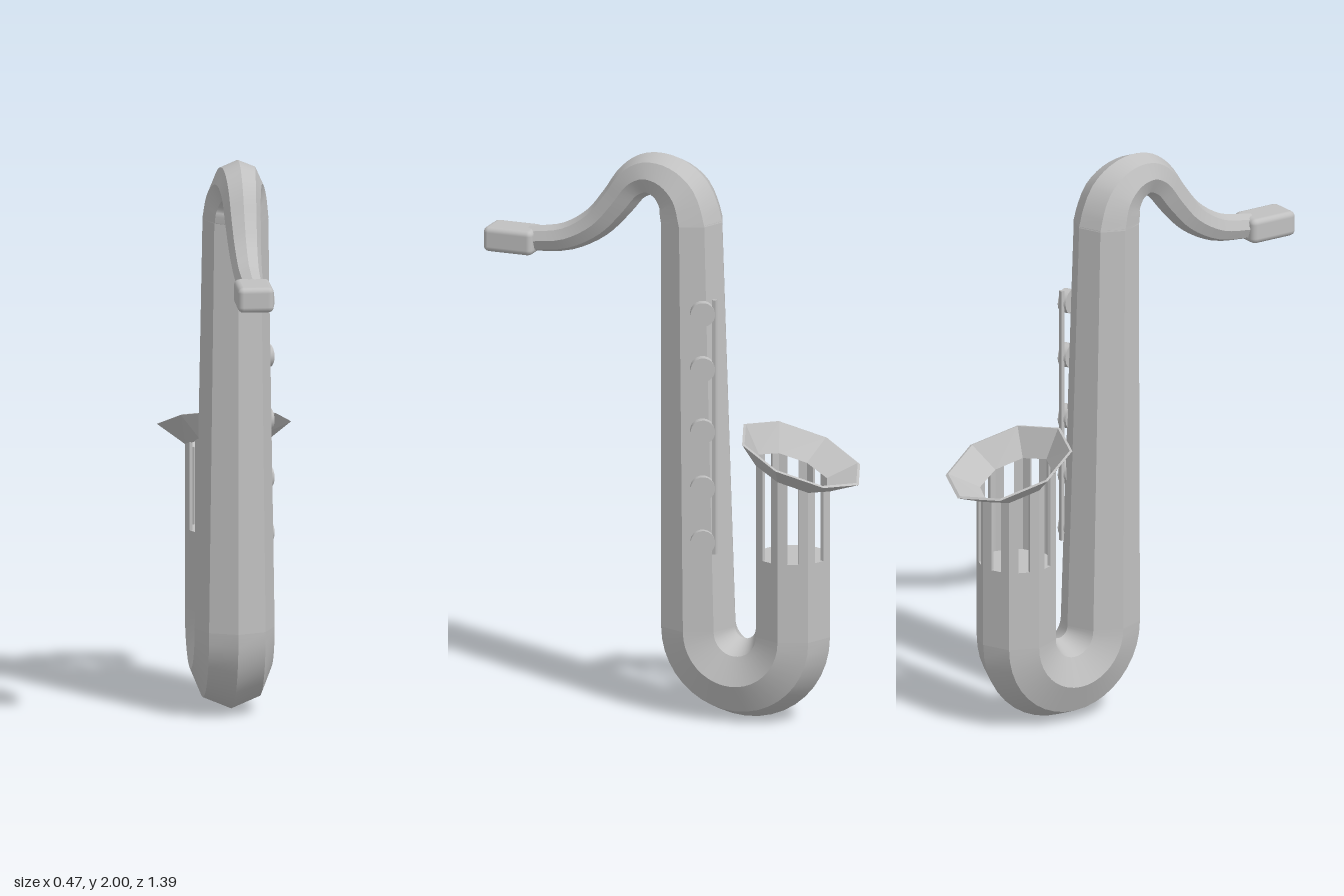
import * as THREE from 'three';
import { RoundedBoxGeometry } from 'three/addons/geometries/RoundedBoxGeometry.js';

const SIDES = 8;
const V = (x, y, z) => new THREE.Vector3(x, y, z);

// Octagon around (0, y, z), square to a direction (ty, tz) in the side plane
function ring(y, z, r, ty, tz) {
  const l = Math.hypot(ty, tz);
  return Array.from({ length: SIDES }, (_, k) => {
    const a = (k / SIDES) * Math.PI * 2;
    const c = Math.cos(a) * r, s = Math.sin(a) * r;
    return V(c, y + (s * tz) / l, z - (s * ty) / l);
  });
}

// Skin over closed rings: sharp around each ring, smooth along the length unless flat
function loft(rings, flat = false) {
  const n = rings[0].length, pos = [], idx = [];
  for (let k = 0; k < n; k++) {
    const base = pos.length / 3;
    rings.forEach((r, i) => {
      const p = r[k], q = r[(k + 1) % n];
      pos.push(p.x, p.y, p.z, q.x, q.y, q.z);
      if (i) {
        const a = base + 2 * (i - 1);
        idx.push(a, a + 1, a + 3, a, a + 3, a + 2);
      }
    });
  }
  let g = new THREE.BufferGeometry();
  g.setAttribute('position', new THREE.Float32BufferAttribute(pos, 3));
  g.setIndex(idx);
  if (flat) g = g.toNonIndexed();
  g.computeVertexNormals();
  return g;
}

export function createModel() {
  const model = new THREE.Group();
  model.name = 'saxophone';
  const metal = new THREE.MeshStandardMaterial({ color: 0xc0c0c0, side: THREE.DoubleSide });
  metal.name = 'grey metal';
  const add = (name, geometry, parent = model) => {
    const m = new THREE.Mesh(geometry, metal);
    m.name = name;
    parent.add(m);
    return m;
  };

  const R = 0.14, bodyZ = -0.09, bellZ = -0.447, bowY = 0.318;

  // Long tapered body tube
  add('body', loft([ring(1.78, -0.065, 0.115, -1, 0), ring(bowY, bodyZ, R, -1, 0)]));
  const cap = add('bodyCap', new THREE.CircleGeometry(0.114, SIDES).rotateX(-Math.PI / 2));
  cap.position.set(0, 1.78, -0.065);

  // U-shaped bow at the bottom
  const midZ = (bodyZ + bellZ) / 2, bend = (bodyZ - bellZ) / 2;
  const bow = [];
  for (let i = 0; i <= 20; i++) {
    const t = (i / 20) * Math.PI;
    bow.push(ring(bowY - bend * Math.sin(t), midZ + bend * Math.cos(t), R, -Math.cos(t), -Math.sin(t)));
  }
  add('bow', loft(bow));

  // Curved neck; each point holds (radius, y, z)
  const path = new THREE.CatmullRomCurve3([
    V(0.116, 1.775, -0.065), V(0.105, 1.86, -0.037), V(0.09, 1.91, 0.02),
    V(0.077, 1.922, 0.09), V(0.068, 1.89, 0.152), V(0.062, 1.81, 0.215),
    V(0.056, 1.727, 0.29), V(0.05, 1.664, 0.4), V(0.045, 1.64, 0.54),
  ]);
  const neck = [];
  for (let i = 0; i <= 32; i++) {
    const p = path.getPoint(i / 32), t = path.getTangent(i / 32);
    neck.push(ring(p.y, p.z, p.x, i ? t.y : 1, i ? t.z : 0));
  }
  add('neck', loft(neck));

  // Mouthpiece
  add('mouthpiece', new RoundedBoxGeometry(0.126, 0.09, 0.185, 2, 0.02)).position.set(0, 1.635, 0.607);

  // Bell: solid lower tube with a floor
  const bell = new THREE.Group();
  bell.name = 'bell';
  model.add(bell);
  const slotY = 0.6;
  add('bellTube', loft([ring(bowY, bellZ, R, 1, 0), ring(slotY, bellZ, R, 1, 0)]), bell);
  add('bellFloor', new THREE.CircleGeometry(R, SIDES).rotateX(-Math.PI / 2), bell).position.set(0, slotY, bellZ);

  // Angled bars at the corners, leaving a slot in every face
  const slant = (p) => V(p.x, 0.9 + 0.39 * (p.z - bellZ), p.z);
  const outer = ring(slotY, bellZ, R, 1, 0), inner = ring(slotY, bellZ, R - 0.012, 1, 0);
  for (let k = 0; k < SIDES; k++) {
    const prev = (k + SIDES - 1) % SIDES, next = (k + 1) % SIDES, f = 0.31;
    const mix = (r, j) => r[k].clone().lerp(r[j], f);
    const section = [mix(outer, prev), outer[k], mix(outer, next), mix(inner, next), inner[k], mix(inner, prev)];
    add('bellBar', loft([section, section.map(slant)]), bell);
  }

  // Tilted flare with a thin rim
  const rim = (r, lift) => ring(0, 0, r, 1, 0).map((p) =>
    V(p.x, 0.967 + lift + 0.37 * p.z, -0.478 + p.z * 0.925));
  add('bellFlare', loft([outer.map(slant), rim(0.235, 0), rim(0.225, 0.003), inner.map(slant)], true), bell);

  // Round keys along the side, with a rod behind them
  const out = V(0.9, 0, -0.43).normalize();
  for (const y of [1.47, 1.27, 1.045, 0.84, 0.645]) {
    const key = add('key', new THREE.CylinderGeometry(0.043, 0.043, 0.032, 20));
    key.position.set(0.11, y, -0.152);
    key.quaternion.setFromUnitVectors(V(0, 1, 0), out);
  }
  add('keyRod', new THREE.BoxGeometry(0.014, 0.92, 0.014)).position.set(0.092, 1.06, -0.19);

  return model;
}
